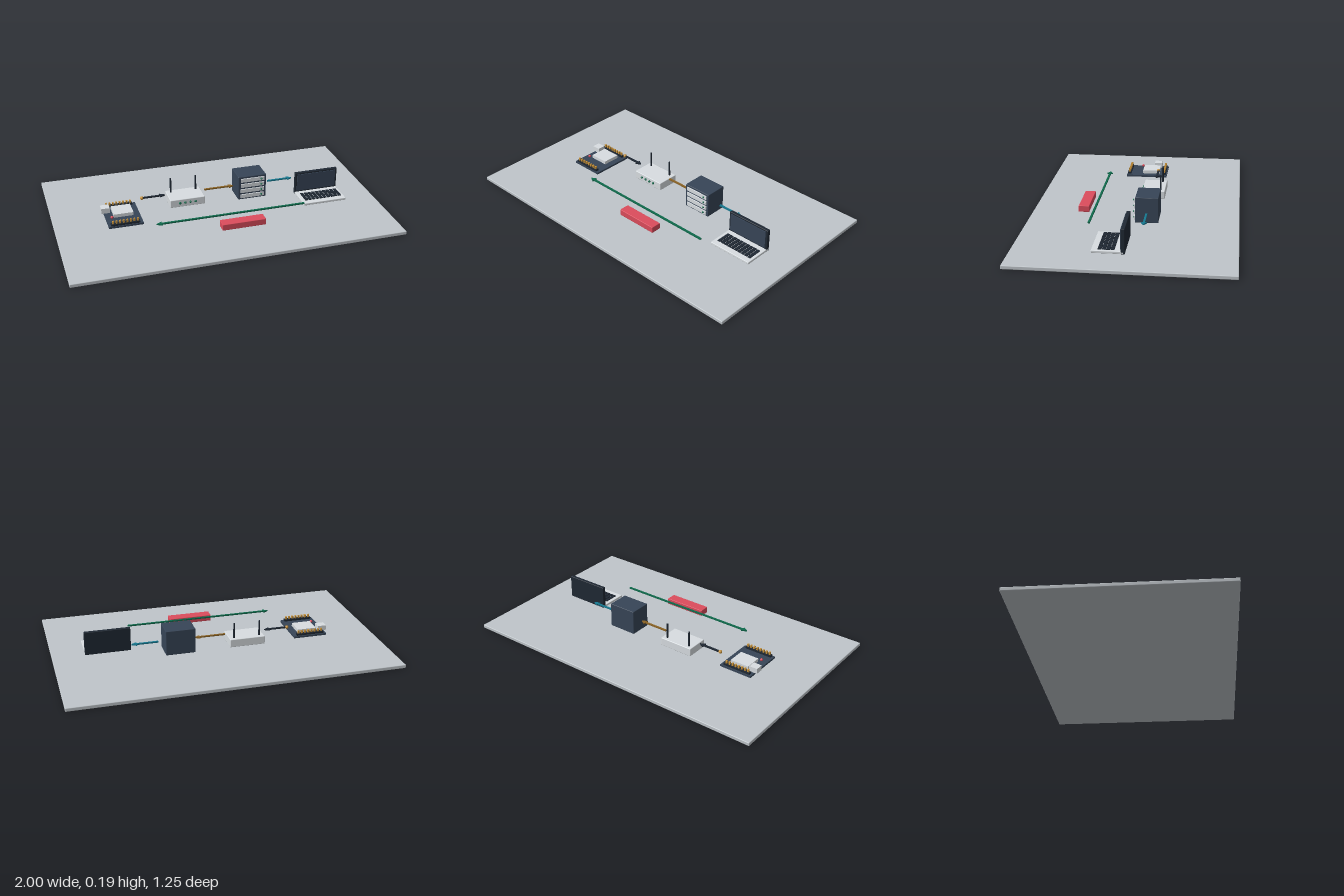
import * as THREE from 'three';
import { RoundedBoxGeometry } from 'three/addons/geometries/RoundedBoxGeometry.js';

const mat = (name, color) => {
  const m = new THREE.MeshStandardMaterial({ color });
  m.name = name;
  return m;
};

export function createModel() {
  const M = {
    base: mat('base grey', 0xbfc5ca),
    light: mat('light grey', 0xd8dde1),
    navy: mat('navy', 0x374557),
    dark: mat('near black', 0x1f2833),
    gold: mat('gold', 0xc8923a),
    red: mat('red', 0xdc4c5c),
    green: mat('green', 0x0f6a4c),
    amber: mat('brown amber', 0x8c6426),
    teal: mat('teal', 0x167890),
  };
  const model = new THREE.Group();
  model.name = 'networkDiorama';

  const group = (name) => {
    const g = new THREE.Group();
    g.name = name;
    model.add(g);
    return g;
  };
  const add = (parent, name, geo, material, x = 0, y = 0, z = 0) => {
    const m = new THREE.Mesh(geo, material);
    m.name = name;
    m.position.set(x, y, z);
    parent.add(m);
    return m;
  };
  // Box given by its minimum and maximum corners
  const box = (parent, name, material, a, b, radius = 0) => {
    const s = b.map((v, i) => v - a[i]);
    const geo = radius ? new RoundedBoxGeometry(...s, 2, radius) : new THREE.BoxGeometry(...s);
    return add(parent, name, geo, material, ...a.map((v, i) => (v + b[i]) / 2));
  };
  // Flat arrow lying in the ground plane, pointing from x0 to x1
  const arrow = (name, material, x0, x1, y, z) => {
    const len = Math.abs(x1 - x0), head = 0.032, w = 0.006, h = 0.018;
    const shape = new THREE.Shape([
      [0, -w], [len - head, -w], [len - head, -h], [len, 0],
      [len - head, h], [len - head, w], [0, w],
    ].map(([px, py]) => new THREE.Vector2(px, py)));
    const geo = new THREE.ExtrudeGeometry(shape, { depth: 0.008, bevelEnabled: false });
    geo.translate(0, 0, -0.004).rotateX(-Math.PI / 2);
    if (x1 < x0) geo.rotateY(Math.PI);
    add(model, name, geo, material, x0, y, z);
  };

  // Ground slab
  box(model, 'baseSlab', M.base, [-1, 0, -0.625], [1, 0.022, 0.625], 0.004);

  // Microcontroller board with pin headers
  const board = group('controllerBoard');
  box(board, 'circuitBoard', M.navy, [-0.69, 0.04, -0.135], [-0.48, 0.052, 0.13]);
  box(board, 'shieldCan', M.light, [-0.64, 0.052, -0.085], [-0.52, 0.073, 0.025]);
  box(board, 'usbSocket', M.light, [-0.705, 0.052, -0.092], [-0.652, 0.085, -0.042]);
  for (const z of [-0.117, 0.115]) {
    box(board, 'pinHeader', M.dark, [-0.676, 0.052, z - 0.011], [-0.5, 0.064, z + 0.011]);
    for (let i = 0; i < 8; i++) {
      const x = -0.663 + i * 0.0215;
      box(board, 'pin', M.gold, [x - 0.005, 0.064, z - 0.006], [x + 0.005, 0.081, z + 0.006]);
    }
  }
  add(board, 'statusLight', new THREE.SphereGeometry(0.009, 12, 8), M.red, -0.655, 0.064, 0.037);

  // Signal arrows
  add(model, 'signalBead', new THREE.SphereGeometry(0.011, 16, 10), M.gold, -0.445, 0.1, -0.085);
  arrow('boardToRouterArrow', M.dark, -0.44, -0.298, 0.1, -0.085);
  arrow('routerToServerArrow', M.amber, -0.045, 0.145, 0.1, -0.085);
  arrow('serverToLaptopArrow', M.teal, 0.372, 0.535, 0.1, -0.085);
  arrow('returnArrow', M.green, 0.5, -0.425, 0.085, 0.232);

  // Router with two antennas and four lights
  const router = group('router');
  box(router, 'routerCase', M.light, [-0.28, 0.039, -0.157], [-0.06, 0.09, -0.016], 0.004);
  for (const x of [-0.25, -0.09])
    add(router, 'antenna', new THREE.CylinderGeometry(0.005, 0.006, 0.097, 12), M.dark, x, 0.137, -0.13);
  for (let i = 0; i < 4; i++)
    add(router, 'routerLight', new THREE.SphereGeometry(0.0075, 12, 8), M.green, -0.22 + i * 0.033, 0.067, -0.013);

  // Server cabinet with four drive bays
  const server = group('server');
  box(server, 'cabinet', M.navy, [0.157, 0.033, -0.152], [0.338, 0.188, -0.015], 0.003);
  for (let i = 0; i < 4; i++) {
    const y = 0.056 + i * 0.036;
    box(server, 'driveBay', M.light, [0.172, y - 0.012, -0.015], [0.324, y + 0.012, -0.008]);
    add(server, 'bayLight', new THREE.SphereGeometry(0.006, 12, 8), M.green, 0.305, y, -0.007);
  }

  // Laptop
  const laptop = group('laptop');
  box(laptop, 'laptopBase', M.light, [0.525, 0.031, -0.006], [0.805, 0.046, 0.174], 0.003);
  box(laptop, 'screenLid', M.dark, [0.525, 0.03, -0.012], [0.805, 0.176, 0.01], 0.003);
  box(laptop, 'display', M.navy, [0.537, 0.055, 0.009], [0.793, 0.166, 0.015]);
  for (let r = 0; r < 4; r++)
    for (let c = 0; c < 10; c++) {
      const x = 0.557 + c * 0.0246, z = 0.057 + r * 0.0235;
      box(laptop, 'key', M.dark, [x - 0.0095, 0.046, z - 0.0105], [x + 0.0095, 0.051, z + 0.0105]);
    }

  // Red block beside the return path
  box(model, 'redBlock', M.red, [-0.053, 0.04, 0.275], [0.217, 0.079, 0.34], 0.003);

  return model;
}
